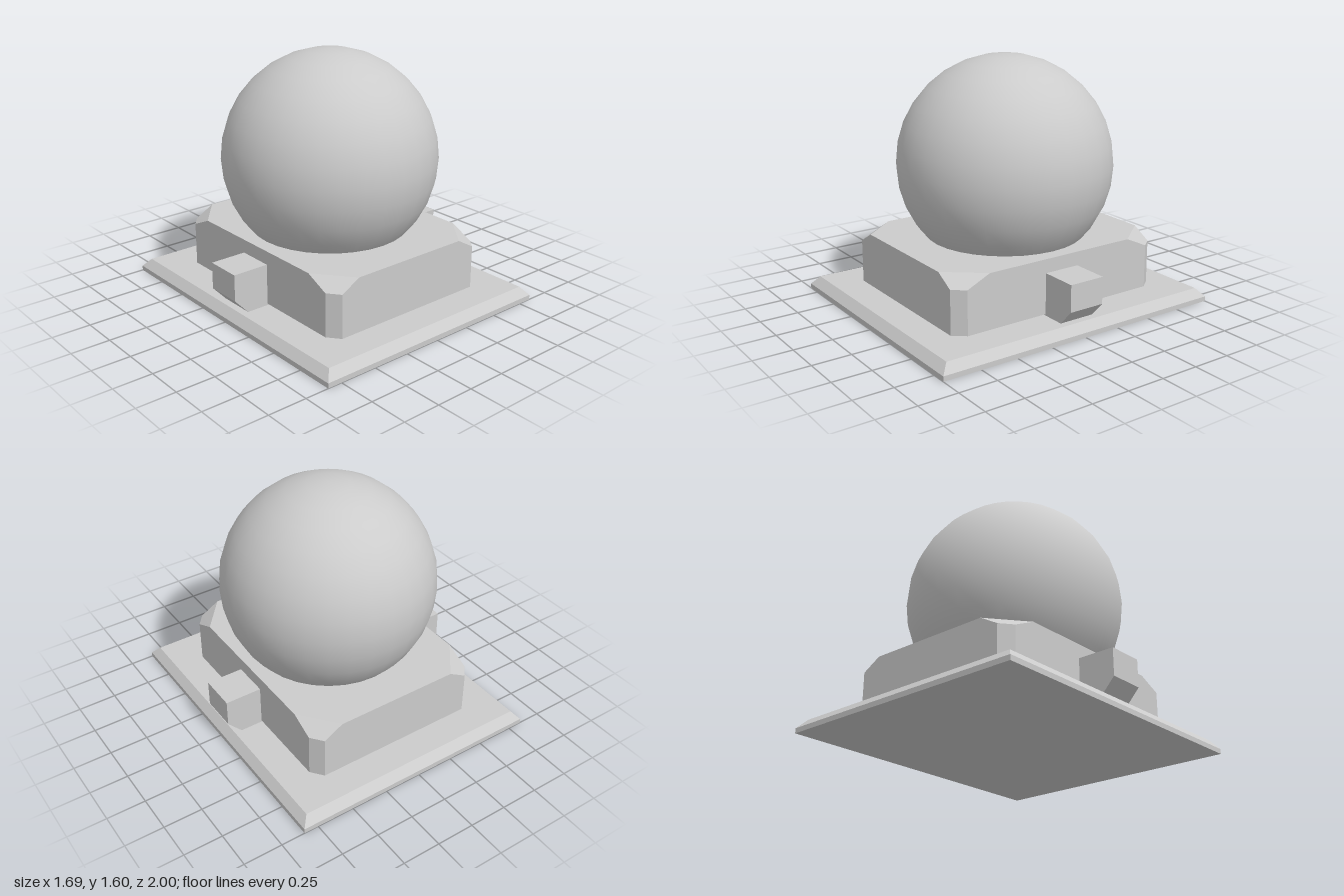
import * as THREE from 'three';

const flat = new THREE.MeshStandardMaterial({ color: 0xcccccc, flatShading: true });
const smooth = new THREE.MeshStandardMaterial({ color: 0xcccccc });

// Corner outline [x, z] mirrored into all four quadrants, running front to left to back to right
function outline(corner) {
  const back = [...corner].reverse();
  return [
    ...corner,
    ...back.map(([x, z]) => [x, -z]),
    ...corner.map(([x, z]) => [-x, -z]),
    ...back.map(([x, z]) => [-x, z]),
  ];
}

// Joins stacked levels { y, corner } with side quads and closes both ends
function loft(levels) {
  const loops = levels.map(({ y, corner }) => outline(corner).map(([x, z]) => [x, y, z]));
  const n = loops[0].length;
  const top = loops[loops.length - 1];
  const pos = [];
  for (let k = 0; k < loops.length - 1; k++) {
    const a = loops[k], b = loops[k + 1];
    for (let i = 0; i < n; i++) {
      const j = (i + 1) % n;
      pos.push(...a[i], ...a[j], ...b[j], ...a[i], ...b[j], ...b[i]);
    }
  }
  for (let i = 1; i < n - 1; i++) {
    pos.push(...top[0], ...top[i], ...top[i + 1]);
    pos.push(...loops[0][0], ...loops[0][i + 1], ...loops[0][i]);
  }
  const geo = new THREE.BufferGeometry();
  geo.setAttribute('position', new THREE.Float32BufferAttribute(pos, 3));
  geo.computeVertexNormals();
  return geo;
}

export function createModel() {
  const model = new THREE.Group();
  model.name = 'ballOnPedestal';
  const add = (name, geo, mat = flat) => {
    const mesh = new THREE.Mesh(geo, mat);
    mesh.name = name;
    model.add(mesh);
    return mesh;
  };

  // Base plate with a sloped upper rim
  add('basePlate', loft([
    { y: 0, corner: [[0.845, 1]] },
    { y: 0.032, corner: [[0.845, 1]] },
    { y: 0.087, corner: [[0.798, 0.95]] },
  ]));

  // Housing with cut corners that widen towards the top, just clear of the plate
  const cut = [[0.54, 0.76], [0.602, 0.682]];
  add('housing', loft([
    { y: 0.096, corner: cut },
    { y: 0.378, corner: cut },
    { y: 0.449, corner: [[0.415, 0.76], [0.602, 0.527]] },
  ]));

  // Side lugs with a chamfered lower outer edge
  const lug = new THREE.Shape([
    [0.55, 0.087], [0.75, 0.087], [0.843, 0.187], [0.843, 0.36], [0.55, 0.36],
  ].map(([x, y]) => new THREE.Vector2(x, y)));
  const lugGeo = new THREE.ExtrudeGeometry(lug, { depth: 0.24, bevelEnabled: false });
  lugGeo.translate(0, 0, -0.12);
  add('leftLug', lugGeo);
  add('rightLug', lugGeo).rotation.y = Math.PI;

  // Ball sunk into the housing
  add('ball', new THREE.SphereGeometry(0.693, 32, 16), smooth).position.y = 0.911;

  return model;
}
